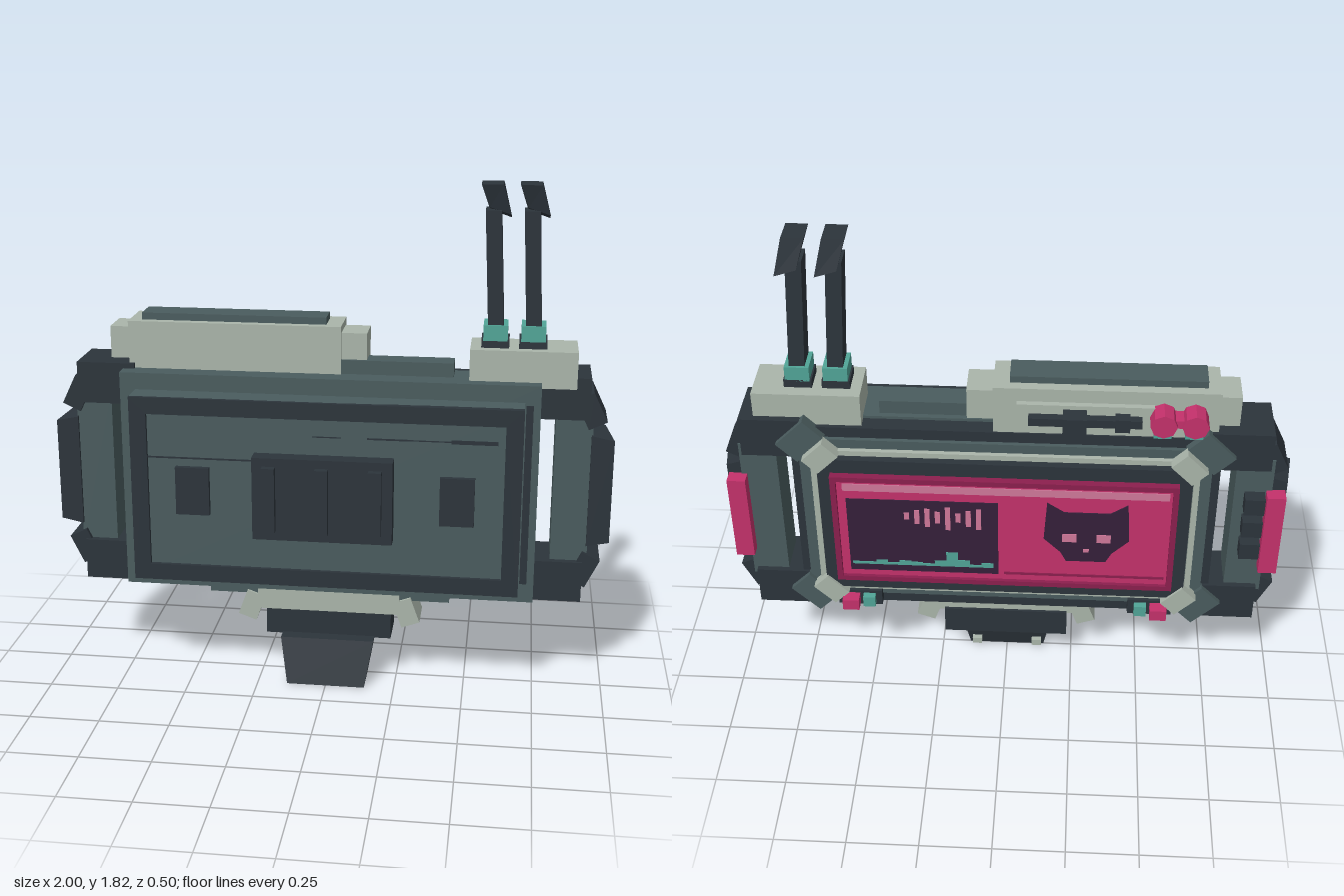
import * as THREE from 'three';

const mat = (name, color) => {
  const m = new THREE.MeshStandardMaterial({ color });
  m.name = name;
  return m;
};

export function createModel() {
  const slate = mat('slate', 0x4a5c5e), dark = mat('charcoal', 0x2c343b), pale = mat('pale sage', 0xaab5aa);
  const teal = mat('teal', 0x51a597), pink = mat('pink', 0xc4316b), deepPink = mat('deep pink', 0x8c1f4e);
  const purple = mat('dark purple', 0x35203a), lightPink = mat('light pink', 0xd0789a);
  const model = new THREE.Group();

  const add = (name, geometry, material) => {
    const mesh = new THREE.Mesh(geometry, material);
    mesh.name = name;
    model.add(mesh);
    return mesh;
  };
  // Box given by its limits on each axis
  const box = (name, m, x0, x1, y0, y1, z0, z1) => {
    const mesh = add(name, new THREE.BoxGeometry(x1 - x0, y1 - y0, z1 - z0), m);
    mesh.position.set((x0 + x1) / 2, (y0 + y1) / 2, (z0 + z1) / 2);
    return mesh;
  };
  const turned = (name, m, x, y, z, w, h, d, angle) => {
    const mesh = box(name, m, x - w / 2, x + w / 2, y - h / 2, y + h / 2, z - d / 2, z + d / 2);
    mesh.rotation.z = angle;
    return mesh;
  };
  // Box whose corners are placed by a rule taking signs along x, y and z
  const skewed = (name, m, rule) => {
    const g = new THREE.BoxGeometry(2, 2, 2).toNonIndexed(), p = g.attributes.position;
    for (let i = 0; i < p.count; i++) p.setXYZ(i, ...rule(p.getX(i), p.getY(i), p.getZ(i)));
    g.computeVertexNormals();
    return add(name, g, m);
  };
  // Rectangular ring
  const frame = (name, m, x, y0, y1, t, z0, z1) => {
    const rect = (P, a, b, c) => new P().moveTo(-a, b).lineTo(a, b).lineTo(a, c).lineTo(-a, c).closePath();
    const s = rect(THREE.Shape, x, y0, y1);
    s.holes.push(rect(THREE.Path, x - t, y0 + t, y1 - t));
    const mesh = add(name, new THREE.ExtrudeGeometry(s, { depth: z1 - z0, bevelEnabled: false }), m);
    mesh.position.z = z0;
  };

  // Main body
  box('body', slate, -0.74, 0.74, 0.35, 1.15, -0.1, 0.08);
  box('backShell', dark, -0.74, 0.74, 0.35, 1.14, -0.16, -0.1);
  box('bottomRail', slate, -0.44, 0.44, 0.31, 0.36, -0.1, 0.03);

  // Front panel
  box('frontSlab', slate, -0.685, 0.685, 0.41, 1.09, 0.08, 0.166);
  frame('frontFrame', dark, 0.685, 0.41, 1.09, 0.06, 0.155, 0.18);
  box('frontCenterBlock', dark, -0.245, 0.245, 0.6, 0.9, 0.16, 0.225);
  for (const x of [-0.185, 0, 0.185]) box('frontRib', dark, x - 0.023, x + 0.023, 0.635, 0.87, 0.22, 0.25);
  for (const s of [-1, 1]) box('frontPad', dark, s * 0.465 - 0.06, s * 0.465 + 0.06, 0.665, 0.84, 0.16, 0.185);
  box('panelSeam', dark, -0.625, -0.245, 0.867, 0.873, 0.165, 0.168);
  for (const [a, b, h] of [[-0.04, 0.06, 0.004], [0.15, 0.3, 0.006], [0.3, 0.6, 0.004], [0.44, 0.6, 0.014]])
    box('panelScratch', dark, a, b, 0.966 - h / 2, 0.966 + h / 2, 0.165, 0.168);
  box('edgeScratch', dark, 0.69, 0.715, 0.42, 1.08, 0.079, 0.083);

  // Side handles, mirrored
  for (const s of [-1, 1]) {
    const side = (name, m, a, b, ...rest) => box(name, m, Math.min(s * a, s * b), Math.max(s * a, s * b), ...rest);
    side('sideStrip', slate, 0.795, 0.925, 0.46, 1.05, -0.15, 0.0);
    for (const v of [-1, 1]) {
      const y = 0.753 + v * 0.34;
      side('cornerBlock', dark, 0.7, 0.91, y - 0.075, y + 0.075, -0.17, 0.025);
      turned('cornerGuard', dark, s * 0.915, 0.753 + v * 0.295, -0.065, 0.07, 0.115, 0.16, s * v * 0.45);
      turned('backCornerPlate', slate, s * 0.7, 0.75 + v * 0.345, -0.165, 0.1, 0.14, 0.05, -s * v * Math.PI / 4 + Math.PI / 2);
      turned('screenBracket', pale, s * 0.63, 0.75 + v * 0.3, -0.2, 0.075, 0.105, 0.045, -s * v * Math.PI / 4 + Math.PI / 2);
    }
    skewed('grip', dark, (x, y, z) => [
      s * (s * x > 0 ? (z > 0 ? 1 : 0.975) : 0.92),
      0.753 + y * (s * x > 0 ? 0.195 : 0.212) * (z > 0 ? 0.97 : 1.03),
      z > 0 ? 0.01 : -0.145]);
    side('sideLight', pink, 0.905, 0.97, 0.58, 0.92, -0.195, -0.145);
  }
  for (const y of [0.88, 0.78, 0.68]) box('sideButton', dark, -0.9, -0.83, y - 0.033, y + 0.033, -0.2, -0.14);

  // Screen on the back
  frame('bezelBase', slate, 0.71, 0.4, 1.1, 0.08, -0.175, -0.155);
  frame('bezelTrim', pale, 0.67, 0.435, 1.065, 0.02, -0.192, -0.16);
  frame('bezel', dark, 0.645, 0.46, 1.04, 0.06, -0.212, -0.15);
  frame('screenFrame', deepPink, 0.6, 0.515, 0.985, 0.02, -0.238, -0.15);
  box('screen', pink, -0.585, 0.585, 0.53, 0.97, -0.225, -0.15);
  const plate = (name, m, x0, x1, y0, y1, z = -0.228) => box(name, m, x0, x1, y0, y1, z, z + 0.005);
  plate('screenTopBar', lightPink, -0.57, 0.56, 0.92, 0.95);
  plate('screenWindow', purple, 0.02, 0.55, 0.56, 0.885);
  plate('screenRule', deepPink, -0.57, 0, 0.56, 0.57);
  [0.03, 0.06, 0.08, 0.05, 0.1, 0.04, 0.07, 0.09].forEach((h, i) => {
    const x = 0.34 - i * 0.036;
    plate('screenBar', lightPink, x - 0.009, x + 0.009, 0.82 - h * 0.6, 0.82 + h * 0.4, -0.231);
  });
  [0, 0, 0.01, 0, 0.01, 0.005, 0, 0.015, 0.055, 0.02, 0, 0.01].forEach((h, i) => {
    const x = 0.52 - i * 0.042;
    plate('screenWave', teal, x - 0.021, x + 0.021, 0.59, 0.6 + h, -0.231);
  });
  // Animal face icon
  const face = new THREE.Shape([[-0.14, 0.13], [-0.08, 0.09], [0.08, 0.09], [0.14, 0.13], [0.15, -0.03], [0.09, -0.09],
    [0.07, -0.13], [-0.07, -0.13], [-0.09, -0.09], [-0.15, -0.03]].map(([x, y]) => new THREE.Vector2(x, y)));
  add('screenFace', new THREE.ExtrudeGeometry(face, { depth: 0.005, bevelEnabled: false }), purple).position.set(-0.29, 0.765, -0.229);
  for (const s of [-1, 1]) plate('screenEye', lightPink, -0.29 + s * 0.06 - 0.025, -0.29 + s * 0.06 + 0.025, 0.725, 0.76, -0.232);
  plate('screenNose', lightPink, -0.3, -0.28, 0.68, 0.693, -0.232);

  // Small buttons below the screen
  for (const s of [-1, 1]) {
    box('buttonBase', dark, s * 0.53 - 0.08, s * 0.53 + 0.08, 0.365, 0.43, -0.2, -0.15);
    box('pinkButton', pink, s * 0.56 - 0.03, s * 0.56 + 0.03, 0.375, 0.42, -0.245, -0.18);
    box('tealButton', teal, s * 0.495 - 0.022, s * 0.495 + 0.022, 0.375, 0.42, -0.225, -0.18);
  }

  // Top module
  box('topModule', pale, -0.72, 0.04, 1.14, 1.32, -0.155, 0.01);
  box('topModuleEnds', pale, -0.79, 0.13, 1.18, 1.295, -0.135, -0.01);
  box('topModuleCap', slate, -0.675, -0.015, 1.31, 1.345, -0.12, -0.02);
  box('topModuleBackPlate', pale, -0.5, -0.04, 1.17, 1.27, -0.175, -0.15);
  box('topRail', slate, 0.03, 0.435, 1.14, 1.2, -0.08, 0);
  box('slider', dark, -0.46, -0.08, 1.205, 1.235, -0.205, -0.17);
  box('sliderKnob', dark, -0.275, -0.195, 1.185, 1.255, -0.235, -0.17);
  box('sliderStop', dark, -0.42, -0.37, 1.195, 1.245, -0.215, -0.17);
  for (const x of [-0.53, -0.635]) {
    const knob = add('valveKnob', new THREE.CylinderGeometry(0.045, 0.045, 0.075, 8).toNonIndexed(), pink);
    knob.geometry.computeVertexNormals();
    knob.rotation.x = Math.PI / 2;
    knob.position.set(x, 1.235, -0.195);
    box('valveBase', teal, x - 0.03, x + 0.03, 1.165, 1.2, -0.2, -0.15);
  }
  box('valveLink', pink, -0.63, -0.53, 1.22, 1.25, -0.215, -0.15);

  // Antennas
  box('antennaMount', pale, 0.49, 0.86, 1.13, 1.26, -0.145, 0.035);
  for (const x of [0.575, 0.705]) {
    box('antennaBase', dark, x - 0.048, x + 0.048, 1.25, 1.29, -0.1, 0);
    box('antennaCollar', teal, x - 0.042, x + 0.042, 1.285, 1.34, -0.1, 0.002);
    skewed('antennaShaft', dark, (a, b, c) => [x + (b > 0 ? -0.02 : 0) + a * 0.027, b > 0 ? 1.735 : 1.33, (b > 0 ? -0.035 : -0.048) + c * 0.042]);
    skewed('antennaTip', dark, (a, b, c) => [x - 0.008 + (b > 0 ? -0.018 : 0.011) + a * 0.037,
      (b > 0 ? 1.823 : 1.72) + (b > 0 ? 0 : -a * 0.012 + c * 0.012), (b > 0 ? -0.035 : -0.058) + c * 0.05]);
  }

  // Lower stand
  box('standCollar', pale, -0.26, 0.26, 0.26, 0.345, -0.1, 0.05);
  for (const s of [-1, 1]) turned('standClamp', pale, s * 0.285, 0.265, -0.03, 0.07, 0.1, 0.14, s * 0.35);
  box('standBlock', dark, -0.23, 0.23, 0.16, 0.27, -0.11, 0.04);
  skewed('standFoot', dark, (x, y, z) => [x * (y > 0 ? 0.17 : 0.142), y > 0 ? 0.165 : 0, (y > 0 ? 0.02 : 0.065) + z * 0.067]);
  for (const s of [-1, 1]) box('footPin', pale, s * 0.115 - 0.018, s * 0.115 + 0.018, 0.022, 0.048, -0.035, 0.06);

  return model;
}
